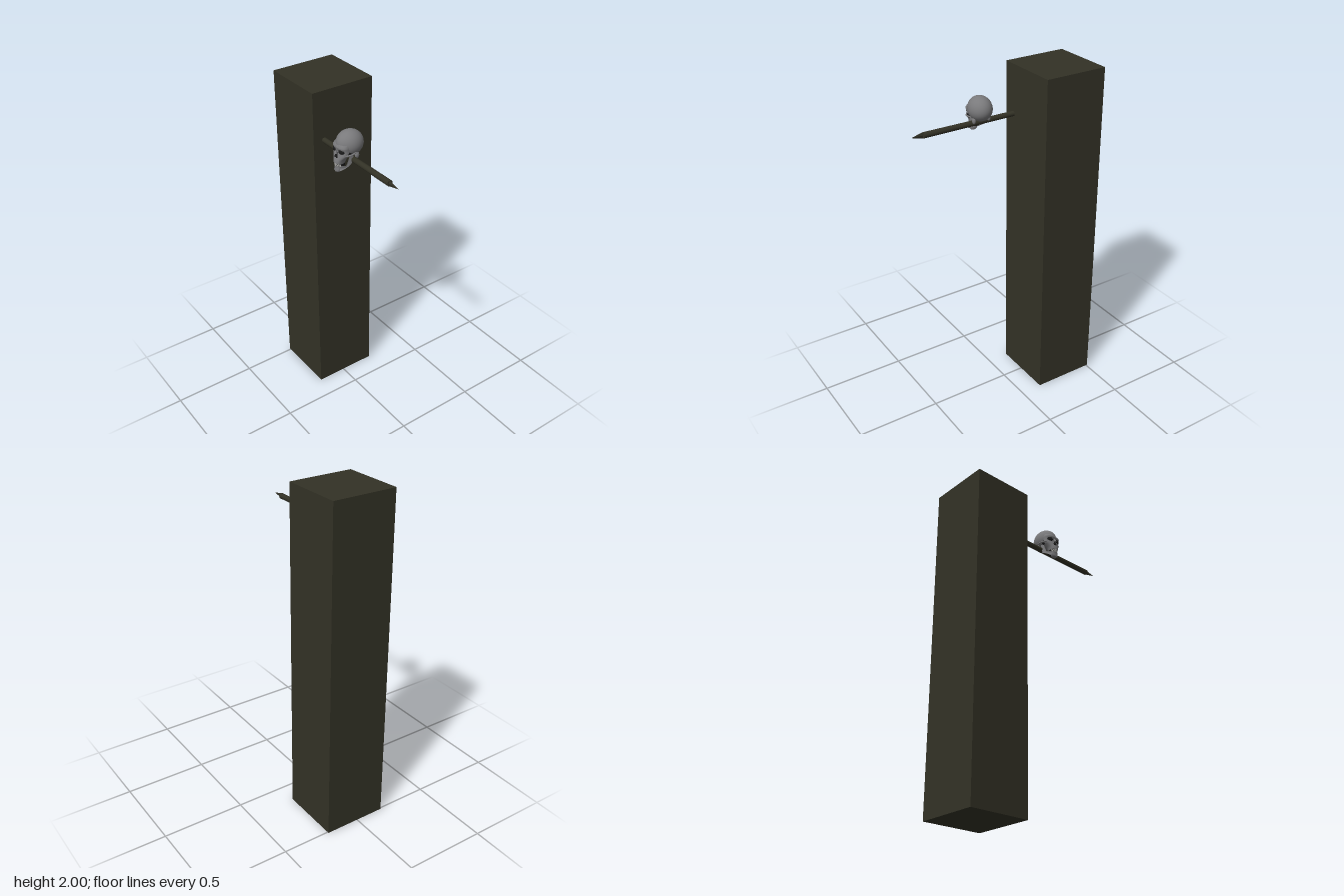
import * as THREE from 'three';

const bone = new THREE.MeshStandardMaterial({ name: 'grey bone', color: 0x7a7a7c, side: THREE.DoubleSide });
const wood = new THREE.MeshStandardMaterial({ name: 'dark wood', color: 0x333226 });
const hollow = new THREE.MeshStandardMaterial({ name: 'dark hollow', color: 0x1d1d1d, side: THREE.DoubleSide });
const enamel = new THREE.MeshStandardMaterial({ name: 'pale teeth', color: 0xa8a8a4 });

function add(parent, name, geometry, material, x = 0, y = 0, z = 0) {
  const mesh = new THREE.Mesh(geometry, material);
  mesh.name = name;
  mesh.position.set(x, y, z);
  parent.add(mesh);
  return mesh;
}

// Moves every vertex of a geometry by a rule
function reshape(geometry, rule) {
  const p = geometry.attributes.position;
  const v = new THREE.Vector3();
  for (let i = 0; i < p.count; i++) {
    rule(v.fromBufferAttribute(p, i));
    p.setXYZ(i, v.x, v.y, v.z);
  }
  geometry.computeVertexNormals();
  return geometry;
}

// Solid through rows of [y, half width, back z, front z], top row first
function loft(rows, power = 0.8) {
  const n = rows.length - 1;
  return reshape(new THREE.CylinderGeometry(1, 1, 1, 28, n), (v) => {
    const [y, hx, zb, zf] = rows[Math.round((0.5 - v.y) * n)];
    const bend = (t) => Math.sign(t) * Math.abs(t) ** power;
    v.set(bend(v.x) * hx, y, (zb + zf) / 2 + bend(v.z) * (zf - zb) / 2);
  });
}

function buildSkull() {
  const skull = new THREE.Group();
  skull.name = 'skull';

  // Cranium, narrower at the forehead and flatter underneath
  const cranium = reshape(new THREE.SphereGeometry(1, 32, 22), (v) => {
    const narrow = v.z > 0 ? 1 - 0.12 * v.z * v.z : 1;
    const under = v.y < 0 ? 0.068 : 0.072;
    v.set(v.x * 0.067 * narrow, v.y * under, v.z * 0.078);
  });
  add(skull, 'cranium', cranium, bone, 0, 1.793, 0.102);

  // Brow, cheeks and upper jaw
  add(skull, 'face', loft([
    [1.806, 0.05, 0.11, 0.176],
    [1.793, 0.055, 0.11, 0.186],
    [1.784, 0.055, 0.11, 0.184],
    [1.766, 0.053, 0.11, 0.177],
    [1.752, 0.055, 0.12, 0.181],
    [1.738, 0.047, 0.125, 0.184],
    [1.722, 0.033, 0.13, 0.191],
    [1.706, 0.028, 0.135, 0.195],
    [1.698, 0.026, 0.14, 0.194],
  ]), bone);

  // Nasal bone
  const nasal = add(skull, 'nasalBone', new THREE.ConeGeometry(0.008, 0.034, 8), bone, 0, 1.772, 0.185);
  nasal.rotation.x = -0.25;

  // Nose opening, a thin pear shape
  const nose = new THREE.Shape();
  nose.moveTo(0, 0.016);
  nose.quadraticCurveTo(0.012, -0.004, 0.009, -0.013);
  nose.lineTo(0, -0.01);
  nose.lineTo(-0.009, -0.013);
  nose.quadraticCurveTo(-0.012, -0.004, 0, 0.016);
  const noseGeo = new THREE.ExtrudeGeometry(nose, { depth: 0.006, bevelEnabled: false });
  add(skull, 'noseOpening', noseGeo, hollow, 0, 1.744, 0.182).rotation.x = -0.2;

  for (const s of [-1, 1]) {
    // Eye socket
    const socket = add(skull, 'eyeSocket', new THREE.SphereGeometry(1, 20, 12), hollow, s * 0.028, 1.771, 0.171);
    socket.scale.set(0.019, 0.0155, 0.012);
    socket.rotation.y = s * 0.35;

    // Cheek arch running back to the ear
    const arch = new THREE.CatmullRomCurve3([
      [0.044, 1.752, 0.168], [0.056, 1.751, 0.15], [0.061, 1.754, 0.125], [0.057, 1.758, 0.098],
    ].map(([x, y, z]) => new THREE.Vector3(s * x, y, z)));
    add(skull, 'cheekArch', new THREE.TubeGeometry(arch, 12, 0.0045, 8), bone);

    // Temple hollow and the bump behind the ear
    const temple = add(skull, 'templeHollow', new THREE.SphereGeometry(1, 14, 10), hollow, s * 0.047, 1.755, 0.138);
    temple.scale.set(0.008, 0.015, 0.018);
    const mastoid = add(skull, 'earBump', new THREE.SphereGeometry(1, 14, 10), bone, s * 0.047, 1.737, 0.088);
    mastoid.scale.set(0.01, 0.02, 0.013);
  }

  // Lower jaw: two bent walls joined along the rim
  const jaw = (inset) => reshape(new THREE.PlaneGeometry(2, 1, 40, 5), (v) => {
    const a = Math.abs(v.x);
    const h = v.y + 0.5;
    const rise = THREE.MathUtils.smoothstep(a, 0.68, 0.85);
    const bottom = 1.652 + 0.042 * a ** 1.6;
    const top = 1.685 + 0.065 * rise;
    const wide = 0.047 - inset;
    v.set(Math.sin(v.x * Math.PI / 2) * wide, bottom + (top - bottom) * h,
      0.191 - inset - 0.068 * a ** 1.7 - 0.012 * rise * h - 0.004 * Math.sin(h * Math.PI));
  });
  add(skull, 'jawOuter', jaw(0), bone);
  add(skull, 'jawInner', jaw(0.007), bone);
  add(skull, 'chin', loft([
    [1.684, 0.022, 0.165, 0.19],
    [1.67, 0.023, 0.162, 0.188],
    [1.658, 0.021, 0.16, 0.193],
    [1.651, 0.014, 0.164, 0.188],
  ]), bone);

  // Dark mouth gap behind two rows of teeth
  const mouth = add(skull, 'mouthGap', new THREE.CylinderGeometry(1, 1, 0.02, 20), hollow, 0, 1.692, 0.162);
  mouth.scale.set(0.023, 1, 0.027);
  for (const [y, reach] of [[1.698, 0.192], [1.687, 0.189]]) {
    for (let i = 0; i < 8; i++) {
      const a = (i - 3.5) * 0.3;
      const tooth = add(skull, 'tooth', new THREE.BoxGeometry(0.0052, 0.0085, 0.005), enamel,
        Math.sin(a) * 0.025, y, reach - 0.028 * (1 - Math.cos(a)));
      tooth.rotation.y = a;
    }
  }
  skull.position.x = 0.089;
  return skull;
}

export function createModel() {
  const model = new THREE.Group();
  model.name = 'postWithSkull';

  // Square post
  add(model, 'post', new THREE.BoxGeometry(0.376, 2, 0.385), wood, -0.32, 1, -0.0155);

  // Round spike shaft, slightly thicker toward its end
  const shaft = new THREE.CylinderGeometry(0.015, 0.0168, 0.587, 16).rotateZ(Math.PI / 2);
  add(model, 'spikeShaft', shaft, wood, 0.1435, 1.715, 0.108);

  // Flat blade at the tip
  const blade = new THREE.ConeGeometry(0.018, 0.073, 4).toNonIndexed();
  blade.rotateZ(-Math.PI / 2).scale(1, 1, 0.25);
  blade.computeVertexNormals();
  add(model, 'spikeTip', blade, wood, 0.4705, 1.715, 0.11);

  model.add(buildSkull());
  return model;
}
